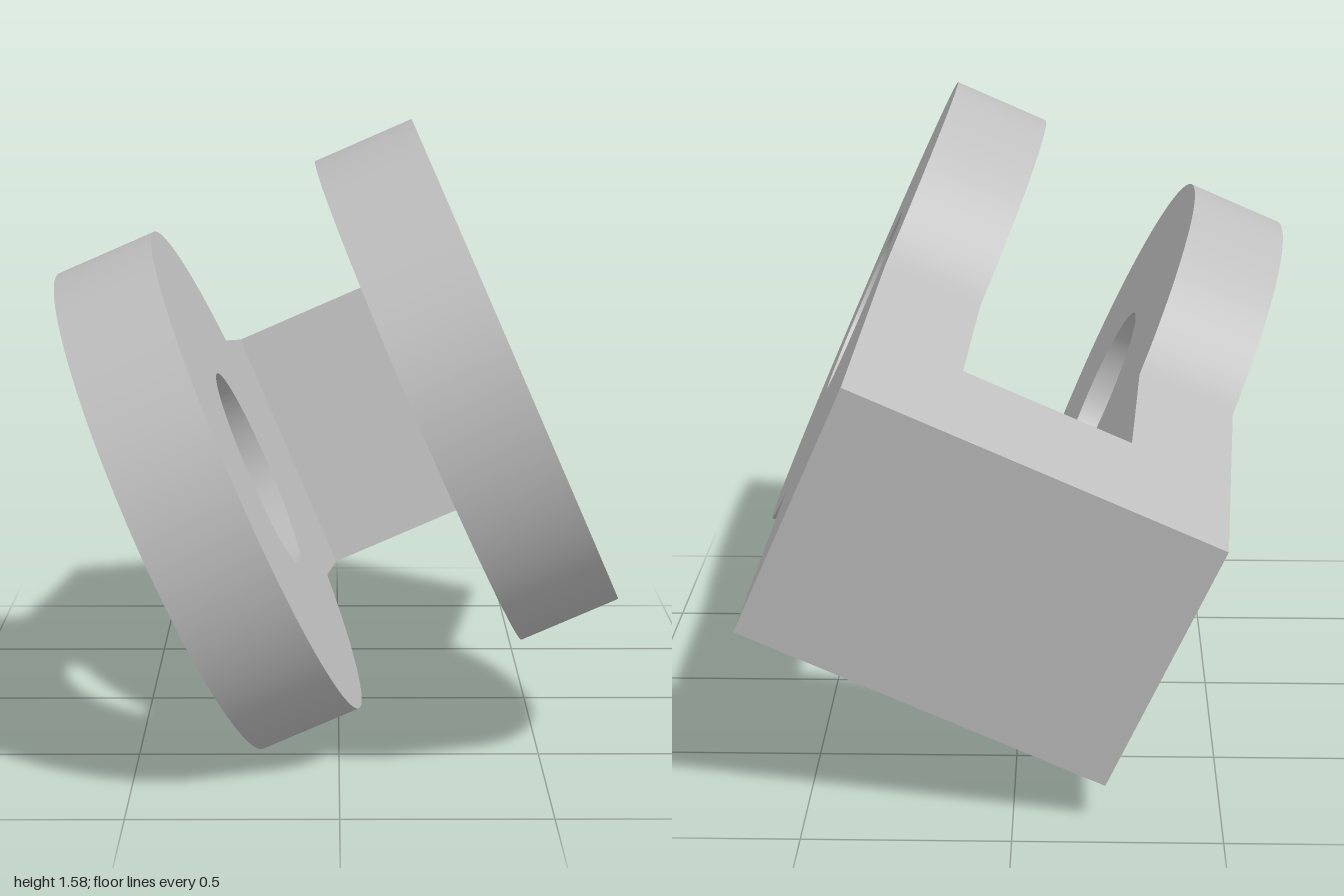
import * as THREE from 'three';
import { toCreasedNormals } from 'three/addons/utils/BufferGeometryUtils.js';

const R = 0.65;          // eye radius
const HOLE = 0.262;      // pin hole radius
const H = 0.348;         // half height of the shank
const LENGTH = 1.31;     // eye centre to shank end
const SLOT = 0.96;       // eye centre to slot floor
const THICK = 0.26;      // plate thickness
const HALF = 0.48;       // half of the overall width

export function createModel() {
  const steel = new THREE.MeshStandardMaterial({ color: 0xbfbfbf });
  steel.name = 'light grey';

  // Plate outline: round eye with a straight shank, and a pin hole
  const t = Math.asin(H / R);
  const outline = new THREE.Shape();
  outline.moveTo(LENGTH, -H);
  outline.lineTo(LENGTH, H);
  outline.lineTo(R * Math.cos(t), H);
  outline.absarc(0, 0, R, t, 2 * Math.PI - t, false);
  outline.closePath();
  const hole = new THREE.Path();
  hole.absarc(0, 0, HOLE, 0, 2 * Math.PI, true);
  outline.holes.push(hole);

  const plateGeometry = toCreasedNormals(
    new THREE.ExtrudeGeometry(outline, { depth: THICK, bevelEnabled: false, curveSegments: 80 }),
    Math.PI / 6
  );

  // Clevis, built along local x with the pin axis on local z
  const clevis = new THREE.Group();
  clevis.name = 'clevis';
  for (const [name, z] of [['rightPlate', -HALF], ['leftPlate', HALF - THICK]]) {
    const plate = new THREE.Mesh(plateGeometry, steel);
    plate.name = name;
    plate.position.z = z;
    clevis.add(plate);
  }

  // Solid bridge joining the plates behind the slot
  const bridge = new THREE.Mesh(
    new THREE.BoxGeometry(LENGTH - SLOT, 2 * H, 2 * (HALF - THICK)), steel);
  bridge.name = 'bridge';
  bridge.position.x = (LENGTH + SLOT) / 2;
  clevis.add(bridge);

  // Shank dips slightly towards the back
  clevis.rotation.z = THREE.MathUtils.degToRad(-8.9);

  // Shank points to -z, pin axis to +x
  const turned = new THREE.Group();
  turned.name = 'turnedClevis';
  turned.rotation.y = Math.PI / 2;
  turned.add(clevis);

  // Sideways lean of the whole part
  const leaning = new THREE.Group();
  leaning.name = 'leaningClevis';
  leaning.rotation.z = THREE.MathUtils.degToRad(23.6);
  leaning.position.set(0, 0.79, 0.35);
  leaning.add(turned);

  const model = new THREE.Group();
  model.name = 'forkEnd';
  model.add(leaning);
  return model;
}
